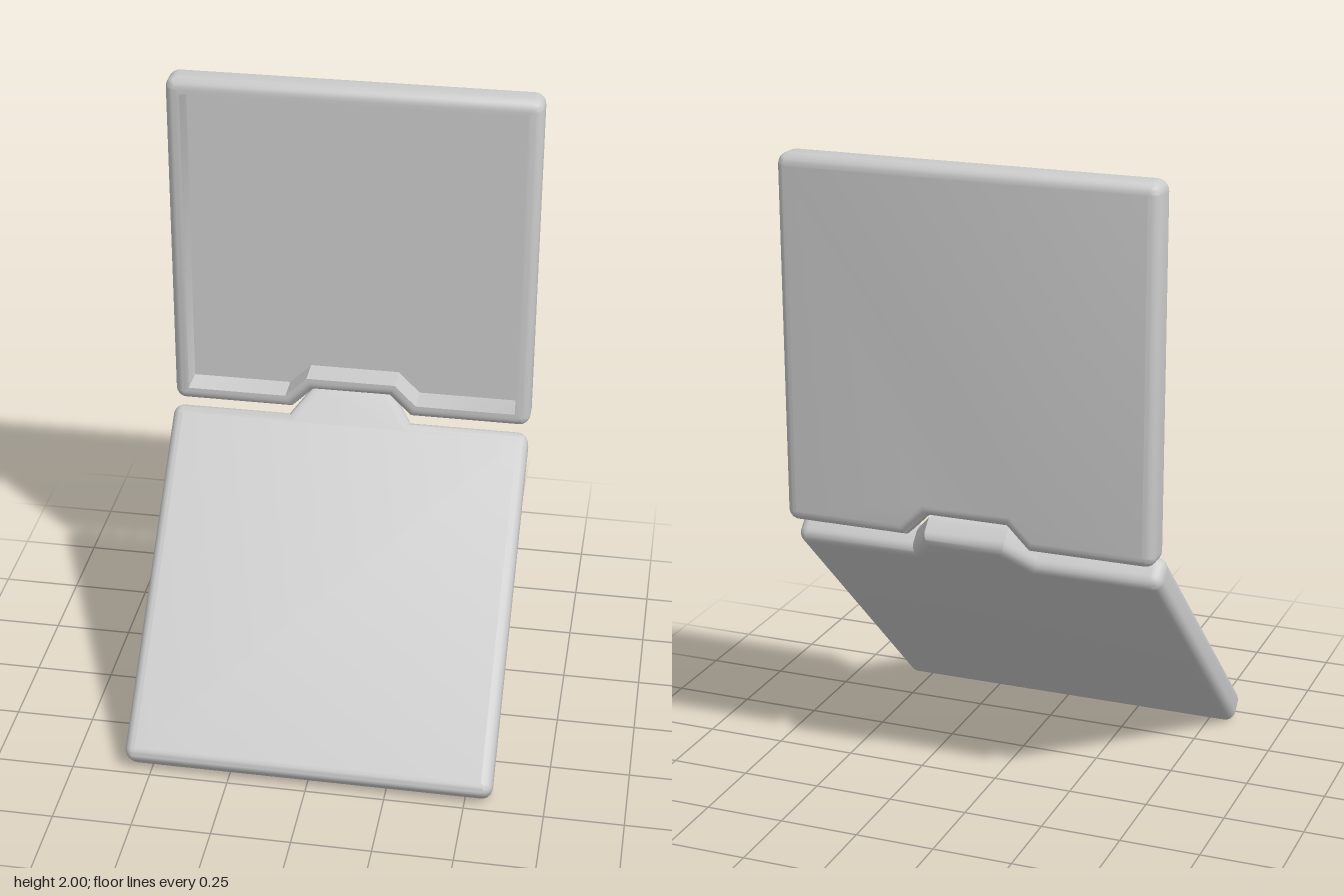
import * as THREE from 'three';
import { toCreasedNormals } from 'three/addons/utils/BufferGeometryUtils.js';

const EDGE = 0.035; // radius of rounded edges and outer corners
const HALF = 0.585; // half width of both panels

// Outline moved inwards by d; square outer corners are rounded, with a constant point count
function insetOutline(points, d) {
  const n = points.length;
  const dir = (i) => points[(i + 1) % n].clone().sub(points[i % n]).normalize();
  const inner = points.map((p, i) => {
    const a = dir(i + n - 1), b = dir(i);
    const na = new THREE.Vector2(-a.y, a.x), nb = new THREE.Vector2(-b.y, b.x);
    return na.clone().add(nb).multiplyScalar(d / (1 + na.dot(nb))).add(p);
  });
  const radius = Math.max(EDGE - d, 0.002);
  const out = [];
  inner.forEach((p, i) => {
    const a = dir(i + n - 1), b = dir(i);
    if (Math.abs(p.x) < 0.4) return out.push(p);
    const centre = p.clone().addScaledVector(a, -radius).addScaledVector(b, radius);
    for (let k = 0; k <= 5; k++) {
      const t = (k / 5) * Math.PI / 2;
      out.push(centre.clone()
        .addScaledVector(b, -radius * Math.cos(t))
        .addScaledVector(a, radius * Math.sin(t)));
    }
  });
  return out;
}

// Rounded panel lofted from back to front, optionally with a recess in its front
function panel(corners, thickness, recess) {
  const points = corners.map(([x, y]) => new THREE.Vector2(x, y));
  const h = thickness / 2, steps = 6, section = [];
  for (let k = 0; k <= steps; k++) {
    const t = (k / steps) * Math.PI / 2;
    section.push([EDGE * (1 - Math.sin(t)), -h + EDGE * (1 - Math.cos(t))]);
  }
  for (let k = steps; k >= 0; k--) section.push([section[k][0], -section[k][1]]);
  if (recess) section.push([recess.rim, h], [recess.rim + 0.001, h - recess.depth]);

  const rings = section.map(([d]) => insetOutline(points, d));
  const n = rings[0].length, pos = [], index = [];
  rings.forEach((ring, i) => ring.forEach((p) => pos.push(p.x, p.y, section[i][1])));
  for (let i = 0; i < rings.length - 1; i++) {
    for (let j = 0; j < n; j++) {
      const a = i * n + j, b = i * n + (j + 1) % n;
      index.push(a, b, b + n, a, b + n, a + n);
    }
  }
  const last = rings.length - 1;
  for (const [a, b, c] of THREE.ShapeUtils.triangulateShape(rings[0], [])) index.push(a, c, b);
  for (const [a, b, c] of THREE.ShapeUtils.triangulateShape(rings[last], [])) {
    index.push(last * n + a, last * n + b, last * n + c);
  }
  const geometry = new THREE.BufferGeometry();
  geometry.setAttribute('position', new THREE.Float32BufferAttribute(pos, 3));
  geometry.setIndex(index);
  return toCreasedNormals(geometry, 0.6);
}

export function createModel() {
  const group = new THREE.Group();
  const material = new THREE.MeshStandardMaterial({ color: 0xcccccc });

  // Upright lid: a thin-backed tray with a notch in the lower edge
  const lidHeight = 1.13, notch = 0.07;
  const lid = new THREE.Mesh(panel([
    [-HALF, 0], [-0.195, 0], [-0.125, notch], [0.125, notch], [0.195, 0],
    [HALF, 0], [HALF, lidHeight], [-HALF, lidHeight],
  ], 0.11, { rim: 0.048, depth: 0.092 }), material);
  lid.name = 'lid';
  lid.position.set(0, 0.87, -0.43);

  // Sloping base: plain panel whose hinge tab reaches into the notch
  const baseLength = 1.184, tabEnd = 1.294;
  const base = new THREE.Mesh(panel([
    [-HALF, 0], [HALF, 0], [HALF, baseLength], [0.2, baseLength],
    [0.127, tabEnd], [-0.127, tabEnd], [-0.2, baseLength], [-HALF, baseLength],
  ], 0.106), material);
  base.name = 'baseWithHingeTab';
  base.position.set(0, 0.024, 0.47);
  base.rotation.x = -0.815;

  group.add(lid, base);
  return group;
}
